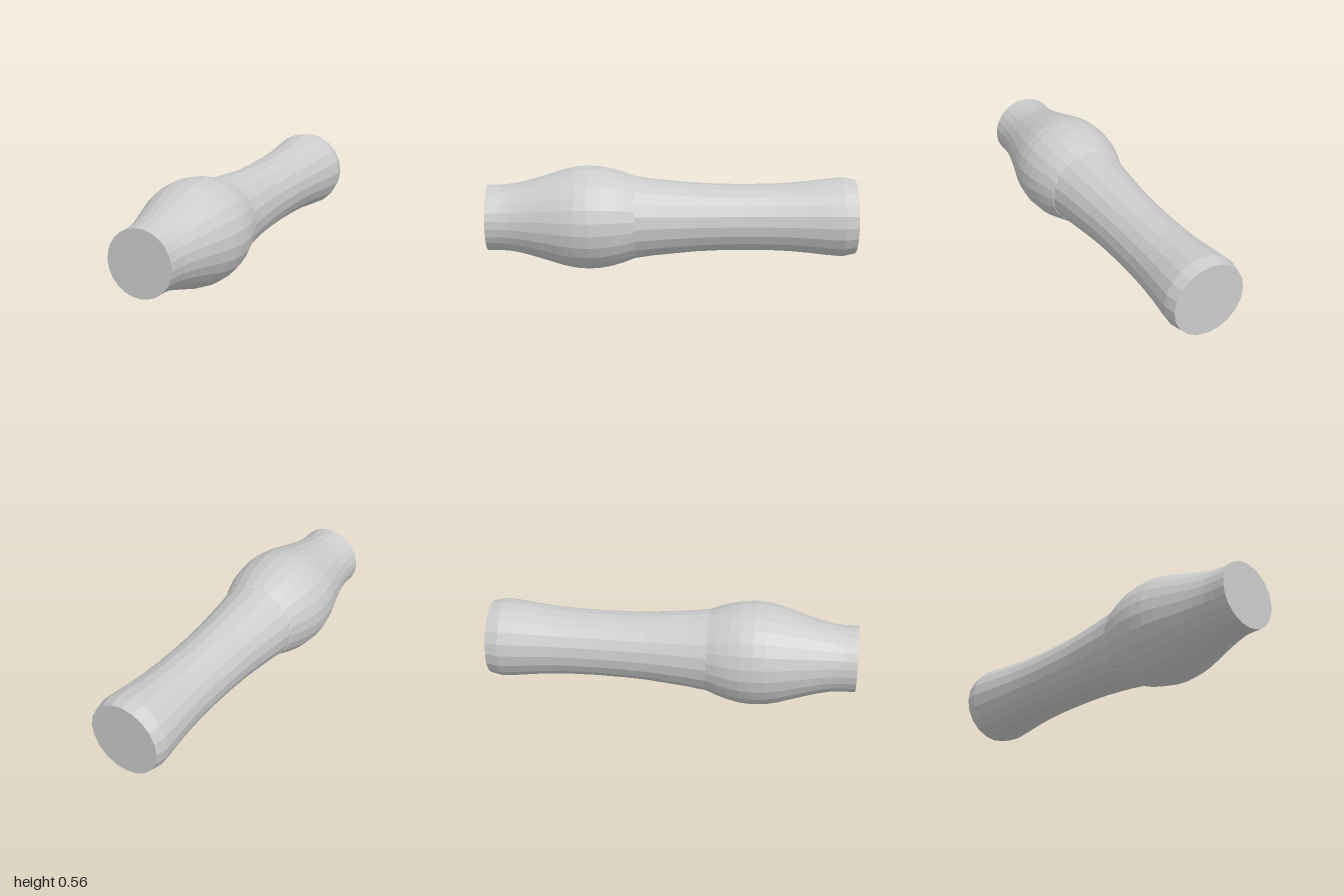
import * as THREE from 'three';

const AXIS_HEIGHT = 0.284;

// Turned part along z from [z, radius] pairs listed back to front
function turned(name, profile, sides, material) {
  const points = profile.map(([z, r]) => new THREE.Vector2(r, z));
  const geometry = new THREE.LatheGeometry(points, sides);
  geometry.rotateX(Math.PI / 2);
  const mesh = new THREE.Mesh(geometry, material);
  mesh.name = name;
  mesh.position.y = AXIS_HEIGHT;
  return mesh;
}

export function createModel() {
  const group = new THREE.Group();
  group.name = 'turnedHandle';
  const material = new THREE.MeshStandardMaterial({ color: 0xcccccc, flatShading: true });

  // Waisted grip with a chamfered, capped rear end
  const grip = [
    [-1, 0], [-1, 0.202], [-0.93, 0.216], [-0.84, 0.208], [-0.74, 0.196],
    [-0.64, 0.187], [-0.54, 0.182], [-0.4, 0.18], [-0.26, 0.182], [-0.13, 0.188],
    [0, 0.2], [0.1, 0.21], [0.2, 0.224],
  ];
  group.add(turned('grip', grip, 20, material));

  // Rounded bulb tapering to a short straight nose with a flat cap
  const bulb = [
    [0.2, 0.225], [0.26, 0.248], [0.32, 0.266], [0.38, 0.278], [0.45, 0.283],
    [0.52, 0.278], [0.59, 0.263], [0.66, 0.241], [0.73, 0.22], [0.8, 0.2],
    [0.87, 0.185], [0.93, 0.18], [1, 0.18], [1, 0],
  ];
  group.add(turned('bulb', bulb, 25, material));

  return group;
}
